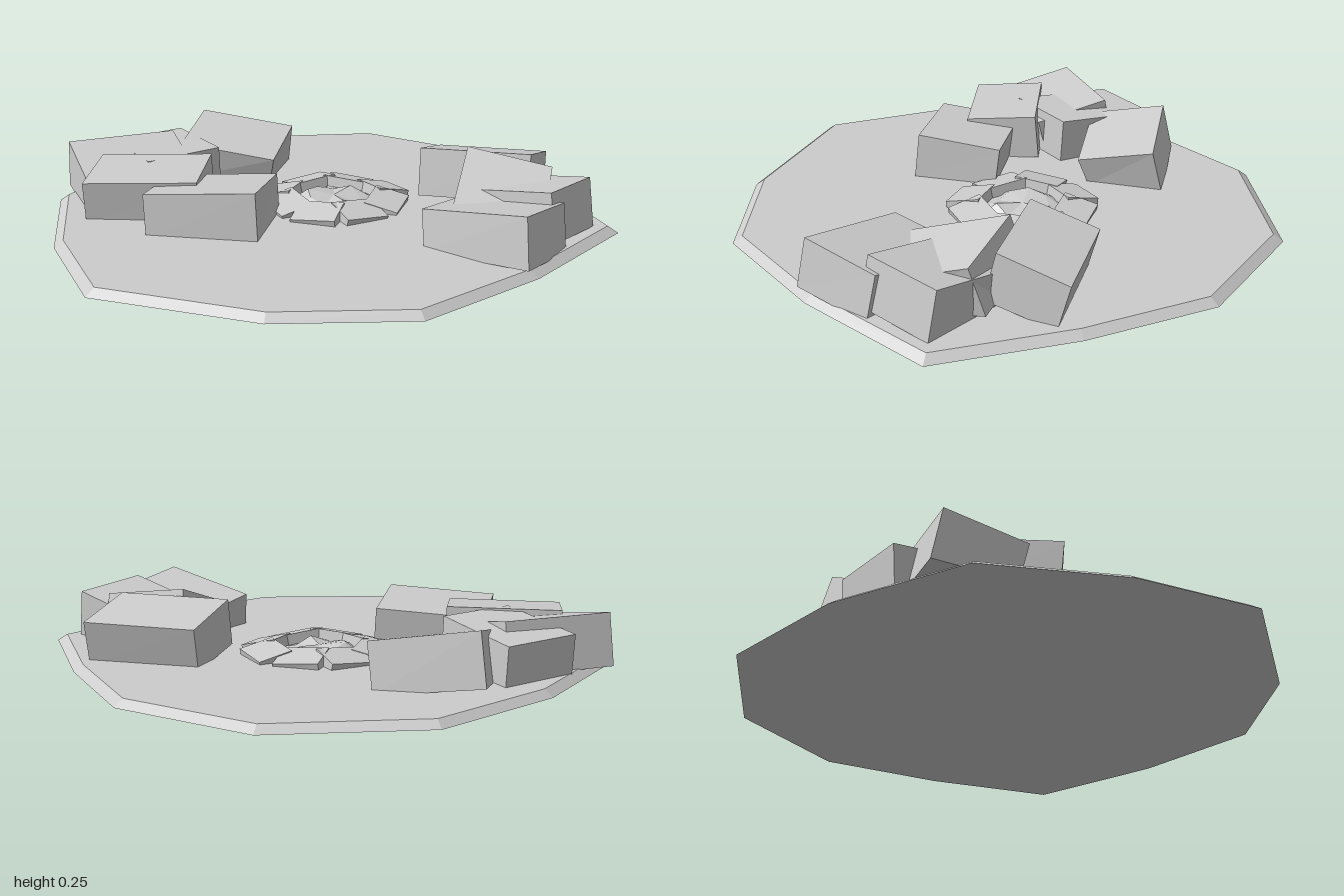
import * as THREE from 'three';

const stone = new THREE.MeshStandardMaterial({ color: 0xcccccc });
stone.name = 'paleStone';

function addFlat(group, geometry, name) {
  const g = geometry.index ? geometry.toNonIndexed() : geometry;
  g.computeVertexNormals();
  const mesh = new THREE.Mesh(g, stone);
  mesh.name = name;
  group.add(mesh);
}

// A box hung below a tilted top face, given one top corner and its two neighbours
function blockGeometry(a, b, d, height) {
  const A = new THREE.Vector3(...a);
  let u = new THREE.Vector3(...b).sub(A);
  let v = new THREE.Vector3(...d).sub(A);
  let n = v.clone().cross(u).normalize();
  if (n.y < 0) { [u, v] = [v, u]; n.negate(); }
  const centre = A.addScaledVector(u, 0.5).addScaledVector(v, 0.5).addScaledVector(n, -height / 2);
  const m = new THREE.Matrix4().makeBasis(u, n.multiplyScalar(height), v).setPosition(centre);
  const g = new THREE.BoxGeometry(1, 1, 1).applyMatrix4(m);
  // keep buried corners inside the base slab
  const p = g.attributes.position;
  for (let i = 0; i < p.count; i++) p.setY(i, Math.max(0.006, p.getY(i)));
  return g;
}

export function createModel() {
  const model = new THREE.Group();
  model.name = 'stoneCamp';

  // Base: irregular twelve-sided slab with a sloping rim
  const outline = [[0.01, 1], [0.495, 0.82], [0.965, 0.54], [0.97, 0.03], [0.905, -0.455], [0.56, -0.87],
    [0.01, -1], [-0.47, -0.8], [-0.88, -0.465], [-0.975, 0.03], [-0.94, 0.49], [-0.46, 0.86]];
  const base = new THREE.CylinderGeometry(0.965, 1, 0.025, 12);
  base.translate(0, 0.0125, 0);
  const bp = base.attributes.position;
  for (let i = 0; i < bp.count; i++) {
    const x = bp.getX(i), z = bp.getZ(i), r = Math.hypot(x, z);
    const k = (Math.round(Math.atan2(x, z) / (Math.PI / 6)) + 12) % 12;
    bp.setX(i, outline[k][0] * r);
    bp.setZ(i, outline[k][1] * r);
  }
  addFlat(model, base, 'baseSlab');

  // Large tumbled blocks in two clusters: top corner, two neighbouring corners, height
  const clusters = {
    leftBlocks: [
      [[0.41, 0.225, 0.025], [0.755, 0.23, 0.25], [0.58, 0.165, -0.165], 0.18],
      [[0.55, 0.25, 0.14], [0.79, 0.21, 0.35], [0.335, 0.13, 0.47], 0.18],
      [[0.45, 0.215, 0.8], [0.23, 0.15, 0.455], [0.69, 0.175, 0.62], 0.18],
      [[0.875, 0.2, 0.47], [0.63, 0.22, 0.63], [0.68, 0.13, 0.14], 0.18],
    ],
    rightBlocks: [
      [[-0.235, 0.23, -0.74], [0.09, 0.18, -0.56], [-0.39, 0.17, -0.5], 0.19],
      [[-0.34, 0.165, -0.73], [-0.635, 0.165, -0.64], [-0.28, 0.19, -0.335], 0.17],
      [[-0.825, 0.208, -0.54], [-0.41, 0.208, -0.56], [-0.81, 0.15, -0.25], 0.19],
      [[-0.72, 0.19, -0.39], [-0.335, 0.2, -0.235], [-0.84, 0.165, -0.145], 0.17],
      [[-0.305, 0.195, 0.245], [-0.66, 0.17, 0.055], [-0.14, 0.165, -0.03], 0.18],
    ],
  };
  for (const [name, blocks] of Object.entries(clusters)) {
    const group = new THREE.Group();
    group.name = name;
    blocks.forEach((b, i) => addFlat(group, blockGeometry(...b), 'block' + (i + 1)));
    model.add(group);
  }

  // Hearth: ring of small slabs, sloping outward, around a low rubble heap
  const hearth = new THREE.Group();
  hearth.name = 'hearth';
  hearth.position.set(0.09, 0, -0.05);
  const count = 8;
  for (let i = 0; i < count; i++) {
    const t = (i / count) * Math.PI * 2 + 0.15;
    const s = new THREE.BoxGeometry(0.17, 0.04, 0.13);
    s.rotateZ(i % 2 ? 0.08 : -0.08);
    s.rotateX(0.22);
    s.translate(0, 0.036, 0.195 + (i % 3) * 0.008);
    s.rotateY(t);
    const p = s.attributes.position;
    for (let j = 0; j < p.count; j++) p.setY(j, Math.max(0.006, p.getY(j)));
    addFlat(hearth, s, 'ringStone' + (i + 1));
  }
  const heap = new THREE.CylinderGeometry(0.1, 0.17, 0.035, 9, 1);
  heap.translate(0, 0.035, 0);
  const hp = heap.attributes.position;
  for (let i = 0; i < hp.count; i++) {
    const x = hp.getX(i), z = hp.getZ(i);
    if (hp.getY(i) > 0.04) hp.setY(i, 0.05 + 0.015 * Math.sin(x * 40 + z * 23));
  }
  addFlat(hearth, heap, 'rubbleHeap');
  model.add(hearth);

  return model;
}
